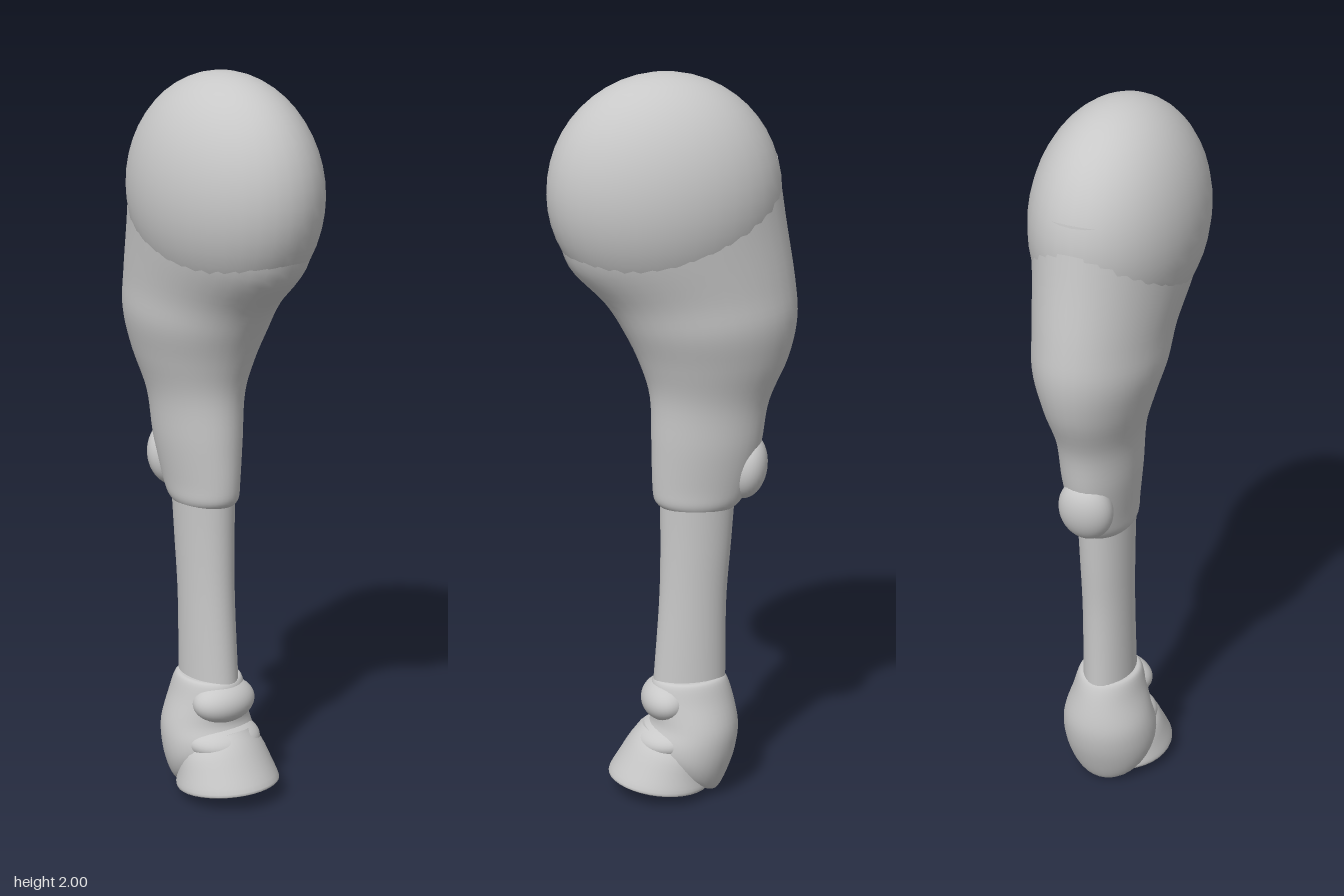
import * as THREE from 'three';

const grey = new THREE.MeshStandardMaterial({ color: 0xc8c8c8 });
grey.name = 'grey';

// Loft through tilted elliptical rings, listed from top to bottom.
// Each ring: [left x, left y, right x, right y, half depth in z]
function loft(rings, steps = 5, sides = 36) {
  const rows = [];
  const at = (i) => rings[Math.max(0, Math.min(rings.length - 1, i))];
  for (let i = 0; i < rings.length - 1; i++) {
    for (let s = 0; s < steps; s++) {
      const t = s / steps;
      rows.push(at(i).map((b, k) => {
        const a = at(i - 1)[k], c = at(i + 1)[k], d = at(i + 2)[k];
        return b + 0.5 * t * (c - a + t * (2 * a - 5 * b + 4 * c - d + t * (3 * (b - c) + d - a)));
      }));
    }
  }
  rows.push(rings[rings.length - 1]);

  const pos = [], index = [];
  const addRing = ([lx, ly, rx, ry, hz]) => {
    const start = pos.length / 3;
    for (let j = 0; j < sides; j++) {
      const a = (j / sides) * Math.PI * 2, c = Math.cos(a) / 2;
      pos.push((lx + rx) / 2 + (rx - lx) * c, (ly + ry) / 2 + (ry - ly) * c, hz * Math.sin(a));
    }
    return start;
  };
  rows.forEach(addRing);
  for (let i = 0; i < rows.length - 1; i++) {
    for (let j = 0; j < sides; j++) {
      const a = i * sides + j, b = i * sides + (j + 1) % sides;
      index.push(a, b, a + sides, b, b + sides, a + sides);
    }
  }
  // End caps with their own vertices so the rims stay sharp
  for (const [row, top] of [[rows[0], true], [rows[rows.length - 1], false]]) {
    const s = addRing(row), c = pos.length / 3;
    pos.push((row[0] + row[2]) / 2, (row[1] + row[3]) / 2, 0);
    for (let j = 0; j < sides; j++) {
      const a = s + j, b = s + (j + 1) % sides;
      if (top) index.push(c, b, a); else index.push(c, a, b);
    }
  }
  const g = new THREE.BufferGeometry();
  g.setAttribute('position', new THREE.Float32BufferAttribute(pos, 3));
  g.setIndex(index);
  g.computeVertexNormals();
  return g;
}

export function createModel() {
  const group = new THREE.Group();
  group.name = 'leg';

  const add = (name, geometry) => {
    const mesh = new THREE.Mesh(geometry, grey);
    mesh.name = name;
    group.add(mesh);
    return mesh;
  };
  const ellipsoid = (name, x, y, rx, ry, rz, tilt = 0) => {
    const mesh = add(name, new THREE.SphereGeometry(1, 36, 24));
    mesh.scale.set(rx, ry, rz);
    mesh.position.set(x, y, 0);
    mesh.rotation.z = tilt;
  };

  // Rounded hip
  ellipsoid('hip', 0.022, 1.692, 0.306, 0.308, 0.218);

  // Thigh tapering down to the knee
  add('upperLeg', loft([
    [-0.272, 1.78, 0.305, 1.61, 0.208],
    [-0.296, 1.62, 0.272, 1.5, 0.192],
    [-0.322, 1.46, 0.18, 1.4, 0.172],
    [-0.33, 1.35, 0.13, 1.32, 0.164],
    [-0.308, 1.24, 0.09, 1.235, 0.138],
    [-0.258, 1.12, 0.062, 1.14, 0.109],
    [-0.238, 1.0, 0.058, 1.01, 0.098],
    [-0.208, 0.89, 0.056, 0.9, 0.084],
    [-0.185, 0.845, 0.05, 0.85, 0.079],
    [-0.16, 0.822, 0.03, 0.828, 0.068],
  ]));

  // Small pad on the back of the knee
  ellipsoid('kneePad', -0.198, 0.935, 0.057, 0.09, 0.075, 0.15);

  // Slender lower leg
  add('lowerLeg', loft([
    [-0.168, 0.86, 0.036, 0.86, 0.074],
    [-0.158, 0.72, 0.034, 0.72, 0.07],
    [-0.146, 0.55, 0.038, 0.55, 0.067],
    [-0.145, 0.3, 0.056, 0.3, 0.068],
  ]));

  // Ankle and heel
  add('heel', loft([
    [-0.12, 0.342, 0.03, 0.338, 0.07],
    [-0.145, 0.335, 0.055, 0.33, 0.085],
    [-0.165, 0.28, 0.065, 0.28, 0.1],
    [-0.18, 0.2, 0.06, 0.22, 0.122],
    [-0.173, 0.13, 0.075, 0.18, 0.13],
    [-0.15, 0.06, 0.075, 0.15, 0.125],
    [-0.125, 0.01, 0.06, 0.12, 0.105],
    [-0.105, 0.003, 0.03, 0.09, 0.07],
  ]));

  // Bulge over the front of the ankle
  ellipsoid('ankleBulge', 0.018, 0.275, 0.07, 0.06, 0.096, -0.15);

  // Collar above the hoof
  ellipsoid('hoofCollar', 0.01, 0.165, 0.1, 0.052, 0.112, -0.1);

  // Flared hoof
  add('hoof', loft([
    [-0.09, 0.14, 0.085, 0.2, 0.085],
    [-0.095, 0.11, 0.115, 0.165, 0.115],
    [-0.1, 0.06, 0.15, 0.11, 0.132],
    [-0.105, 0.035, 0.178, 0.063, 0.142],
    [-0.1, 0.025, 0.174, 0.053, 0.14],
  ], 3));

  return group;
}
